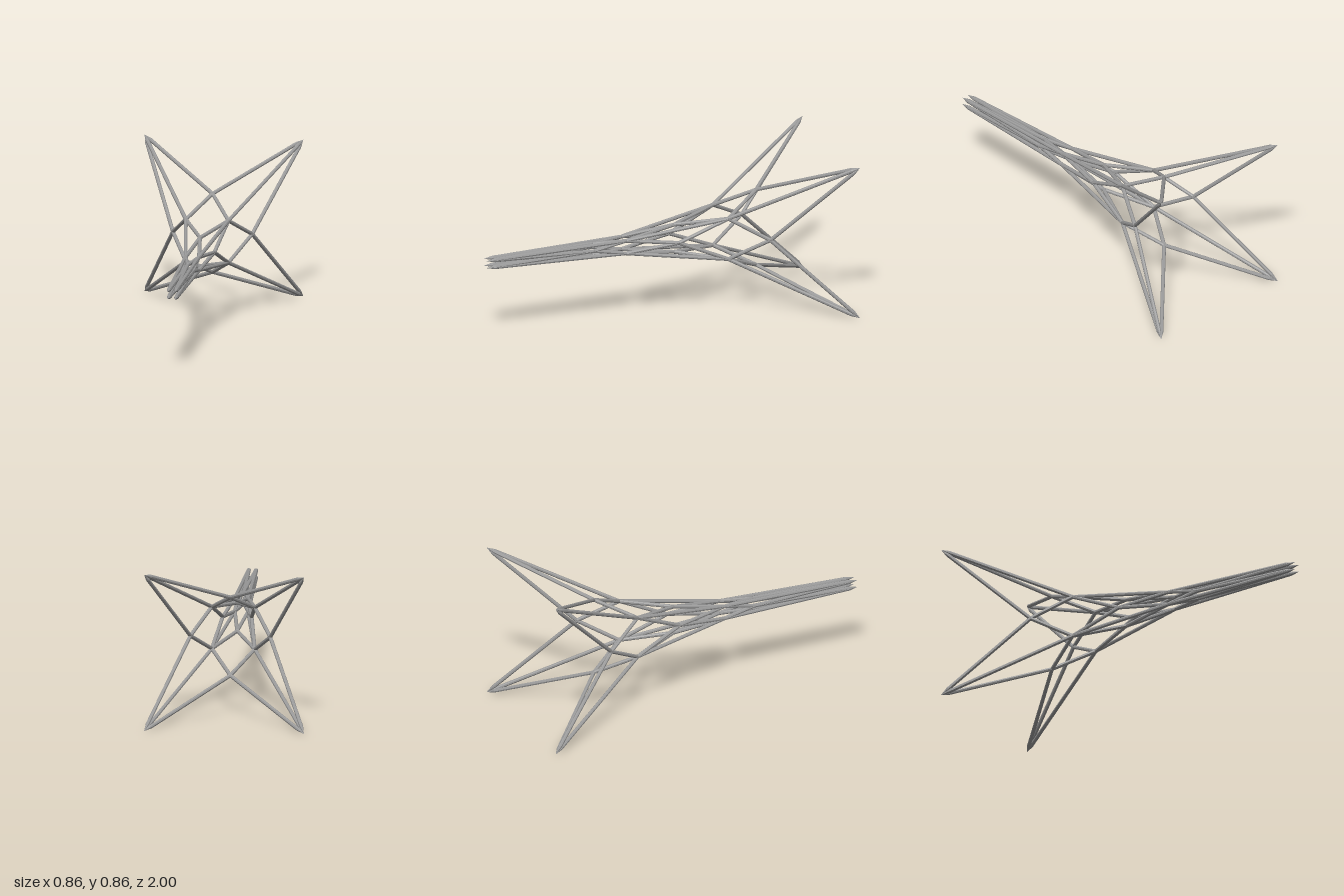
import * as THREE from 'three';

const R = 0.0105;   // bar radius
const CY = 0.432;   // height of the long axis

export function createModel() {
  const model = new THREE.Group();
  const grey = new THREE.MeshStandardMaterial({ color: 0x999999, flatShading: true });
  grey.name = 'steel grey';

  // four points around the z axis; diagonal rings are turned by 45 degrees
  const ring = (radius, z, diagonal) => [0, 1, 2, 3].map((i) => {
    const a = (i + (diagonal ? 0.5 : 0)) * Math.PI / 2;
    return new THREE.Vector3(Math.cos(a) * radius, CY + Math.sin(a) * radius, z);
  });
  const S = Math.SQRT2;
  const backTips = ring(0.432 * S, -1, true);
  const backNodes = ring(0.216, -0.565, false);
  const wideNodes = ring(0.116 * S, -0.36, true);
  const middleNodes = ring(0.078, -0.09, false);
  const narrowNodes = ring(0.036 * S, 0.2, true);
  const frontNodes = ring(0.031, 0.38, false);
  const frontTips = ring(0.02 * S, 1, true);

  // faceted bar with a long point at a free tip and a blunt overlap at a joint
  function bar(name, a, b, pointed) {
    const dir = b.clone().sub(a);
    const len = dir.length();
    const end = pointed ? len : len + 0.006;
    const taper = pointed ? 0.05 : 0.008;
    const profile = [[0, -0.006], [R, 0.002], [R, end - taper], [0, end]]
      .map(([x, y]) => new THREE.Vector2(x, y));
    const mesh = new THREE.Mesh(new THREE.LatheGeometry(profile, 8), grey);
    mesh.name = name;
    mesh.position.copy(a);
    mesh.quaternion.setFromUnitVectors(new THREE.Vector3(0, 1, 0), dir.normalize());
    model.add(mesh);
  }

  for (let i = 0; i < 4; i++) {
    // straight spine along each diagonal
    bar('backSpine', wideNodes[i], backTips[i], true);
    bar('middleSpine', wideNodes[i], narrowNodes[i], false);
    bar('frontSpine', narrowNodes[i], frontTips[i], true);
    // lattice braces to the two neighbouring axis nodes
    for (const j of [i, (i + 1) % 4]) {
      bar('backTipBrace', backNodes[j], backTips[i], true);
      bar('backBrace', backNodes[j], wideNodes[i], false);
      bar('middleBackBrace', wideNodes[i], middleNodes[j], false);
      bar('middleFrontBrace', middleNodes[j], narrowNodes[i], false);
      bar('frontBrace', narrowNodes[i], frontNodes[j], false);
      bar('frontTipBrace', frontNodes[j], frontTips[i], true);
    }
  }
  return model;
}
